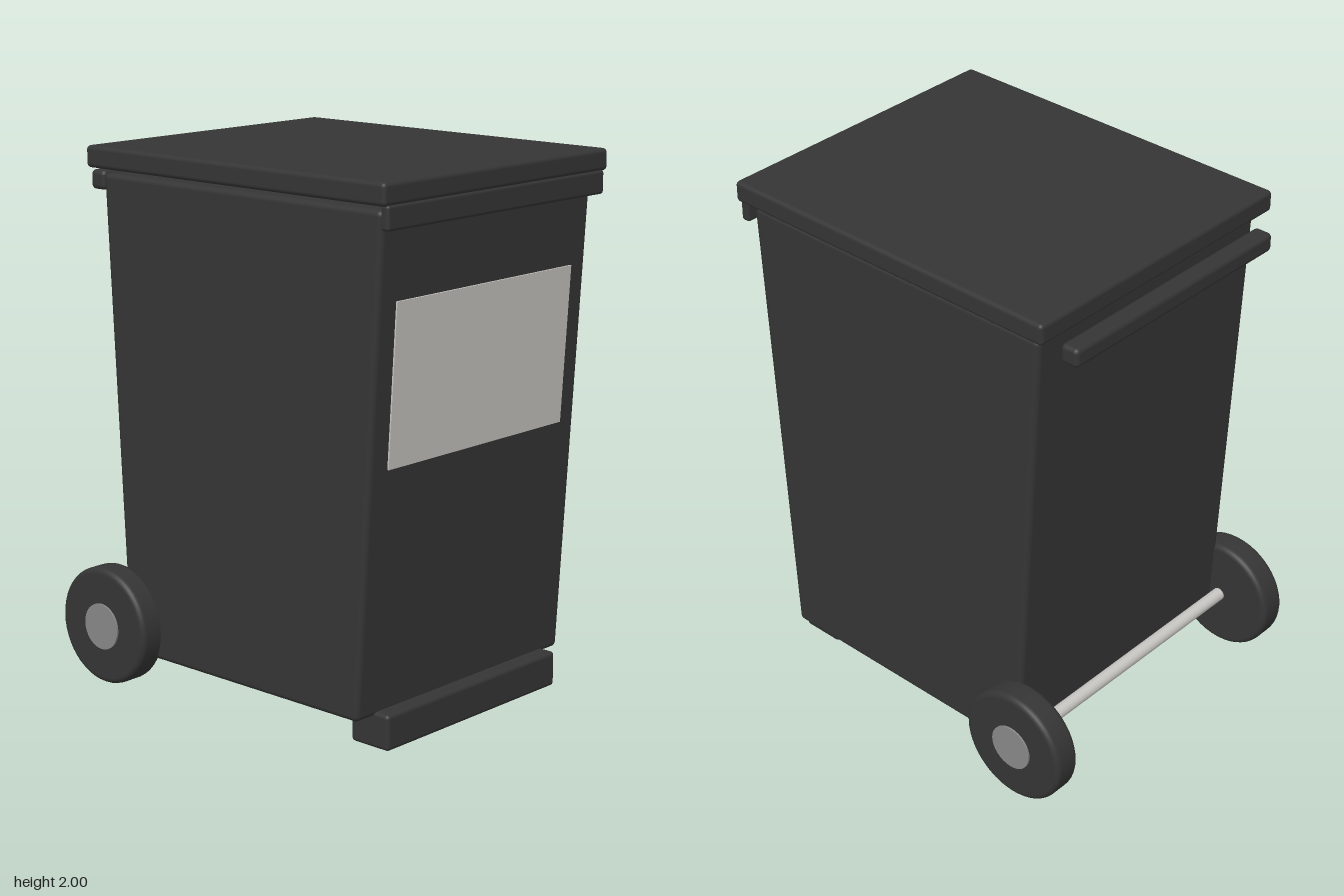
import * as THREE from 'three';
import { RoundedBoxGeometry } from 'three/addons/geometries/RoundedBoxGeometry.js';

function material(name, color) {
  const m = new THREE.MeshStandardMaterial({ color });
  m.name = name;
  return m;
}

export function createModel() {
  const group = new THREE.Group();
  group.name = 'wheeledBin';
  const plastic = material('black plastic', 0x353535);
  const hubGrey = material('hub grey', 0x888888);
  const pale = material('pale grey', 0xc8c6c2);

  function add(name, geometry, mat, x = 0, y = 0, z = 0) {
    const mesh = new THREE.Mesh(geometry, mat);
    mesh.name = name;
    mesh.position.set(x, y, z);
    group.add(mesh);
    return mesh;
  }

  // Rounded box given by half width and its y and z ranges
  function slab(name, halfX, y0, y1, z0, z1, radius) {
    const geometry = new RoundedBoxGeometry(halfX * 2, y1 - y0, z1 - z0, 3, radius);
    return add(name, geometry, plastic, 0, (y0 + y1) / 2, (z0 + z1) / 2);
  }

  // Tapered body: front and back walls lean outwards towards the top
  const y0 = 0.12, y1 = 1.9, height = y1 - y0;
  const frontZ = y => 0.63 + 0.108 * (y - y0) / height;
  const backZ = y => -0.508 - 0.092 * (y - y0) / height;
  const body = new RoundedBoxGeometry(1.12, height, 1, 4, 0.02);
  body.translate(0, (y0 + y1) / 2, 0);
  const pos = body.attributes.position, nor = body.attributes.normal;
  const n = new THREE.Vector3();
  for (let i = 0; i < pos.count; i++) {
    const y = pos.getY(i), t = pos.getZ(i) + 0.5;
    pos.setZ(i, THREE.MathUtils.lerp(backZ(y), frontZ(y), t));
    const slope = THREE.MathUtils.lerp(-0.092, 0.108, t) / height;
    n.fromBufferAttribute(nor, i);
    n.y -= n.z * slope;
    n.normalize();
    nor.setXYZ(i, n.x, n.y, n.z);
  }
  add('body', body, plastic);

  // Lid, its front lip, rear handle and front foot
  slab('lid', 0.6, 1.92, 2.0, -0.645, 0.78, 0.016);
  slab('lidLip', 0.58, 1.838, 1.925, 0.743, 0.78, 0.012);
  slab('rearHandle', 0.512, 1.826, 1.898, -0.72, -0.646, 0.018);
  slab('frontFoot', 0.468, 0.005, 0.137, 0.52, 0.692, 0.015);

  // Label plate lying on the sloping front wall
  const label = add('frontLabel', new THREE.BoxGeometry(0.94, 0.58, 0.008), pale,
    0, 1.3, frontZ(1.3) + 0.002);
  label.rotation.x = Math.atan(0.108 / height);

  // Wheels with rounded rims, hub caps and the axle between them
  const wheelY = 0.226, wheelZ = -0.558, R = 0.221, half = 0.054, r = 0.022;
  const profile = [new THREE.Vector2(0, -half)];
  for (const side of [-1, 1]) {
    for (let i = 0; i <= 5; i++) {
      const a = (side < 0 ? -Math.PI / 2 : 0) + i / 5 * Math.PI / 2;
      profile.push(new THREE.Vector2(R - r + r * Math.cos(a), side * (half - r) + r * Math.sin(a)));
    }
  }
  profile.push(new THREE.Vector2(0, half));
  const wheel = new THREE.LatheGeometry(profile, 48).rotateZ(Math.PI / 2);
  const hub = new THREE.CylinderGeometry(0.087, 0.087, 0.02, 32).rotateZ(Math.PI / 2);
  for (const [side, s] of [['left', 1], ['right', -1]]) {
    add(side + 'Wheel', wheel, plastic, s * 0.594, wheelY, wheelZ);
    add(side + 'Hub', hub, hubGrey, s * 0.645, wheelY, wheelZ);
  }
  const axle = new THREE.CylinderGeometry(0.025, 0.025, 1.14, 20).rotateZ(Math.PI / 2);
  add('axle', axle, pale, 0, wheelY, wheelZ);

  return group;
}
